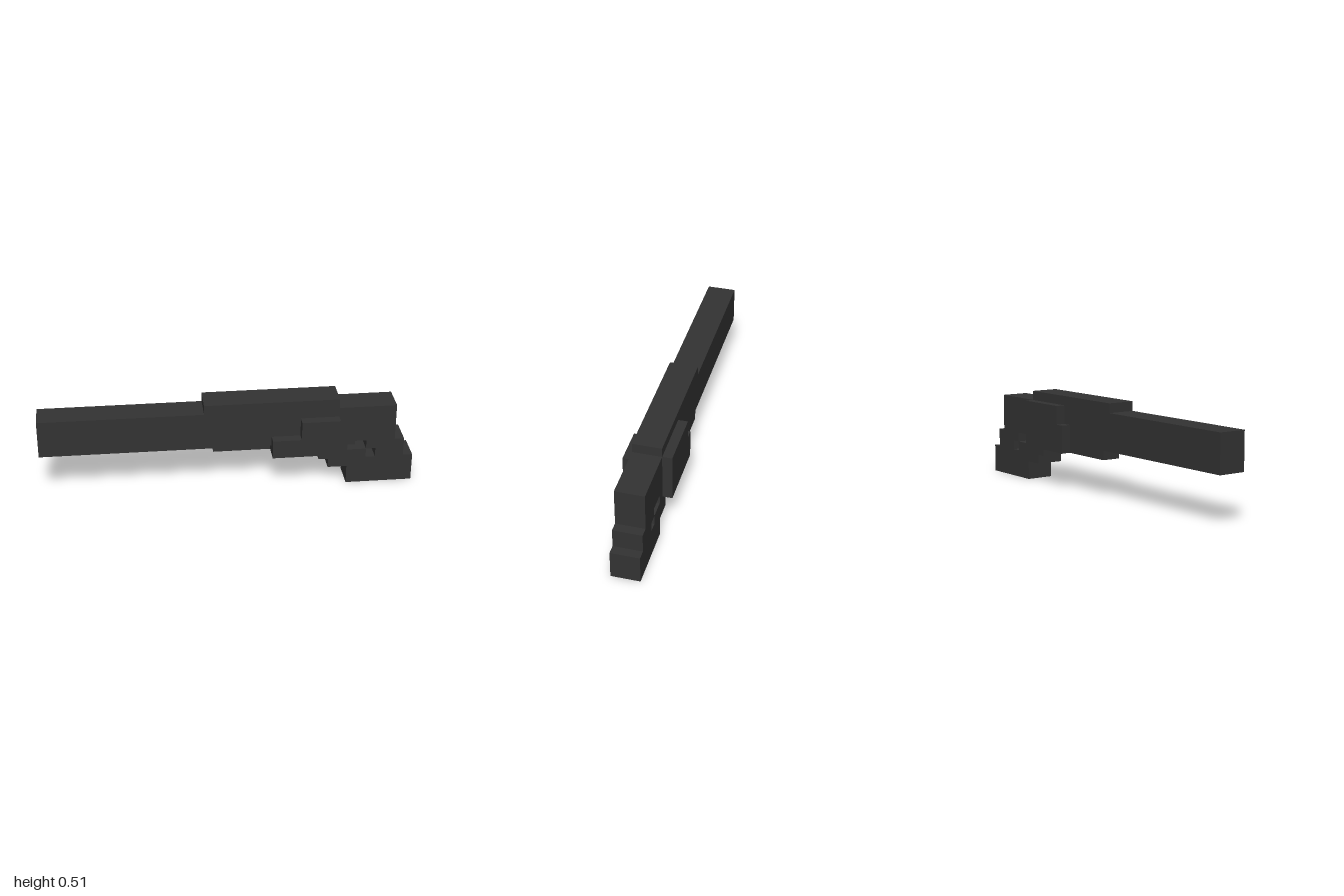
import * as THREE from 'three';

const U = 2 / 39; // one block of the grid the model is built on

export function createModel() {
  const group = new THREE.Group();
  const gunmetal = new THREE.MeshStandardMaterial({ color: 0x333333 });
  gunmetal.name = 'gunmetal';

  // Extrude a side profile, given in blocks (x from the muzzle, y from the ground), between two depths
  function slab(name, profile, z0, z1) {
    const shape = new THREE.Shape(
      profile.map(([x, y]) => new THREE.Vector2(x * U - 1, y * U))
    );
    const geometry = new THREE.ExtrudeGeometry(shape, { depth: (z1 - z0) * U, bevelEnabled: false });
    geometry.translate(0, 0, z0 * U);
    const mesh = new THREE.Mesh(geometry, gunmetal);
    mesh.name = name;
    group.add(mesh);
  }
  const rect = (x0, y0, x1, y1) => [[x0, y0], [x1, y0], [x1, y1], [x0, y1]];

  // Long barrel and receiver with the raised rail on top
  slab('barrelAndReceiver', [[0, 5], [37, 5], [37, 9], [31, 9], [31, 10], [17, 10], [17, 9], [0, 9]], -1.5, 1.5);

  // Rod under the barrel, set in from the front side
  slab('underBarrel', rect(18, 4, 24, 5), -1.5, 0.5);

  // Frame ahead of the trigger, stepping down to the guard
  slab('triggerFrame', [[24, 4], [29, 4], [29, 3], [34, 3], [34, 4], [32, 4], [32, 5], [24, 5]], -1.5, 1.5);

  // Stepped grip, leaving the two openings behind the trigger
  slab('grip', [
    [30, 2], [32, 2], [32, 0], [39, 0], [39, 3], [38, 3],
    [38, 5], [34, 5], [34, 4], [35, 4], [35, 3], [30, 3],
  ], -1.5, 1.5);

  // Narrow trigger inside the opening
  slab('trigger', rect(32, 4, 33, 5), -0.5, 0.5);

  // Stepped side plates
  slab('frontSidePlate', [[24, 4], [31, 4], [31, 8], [27, 8], [27, 6], [24, 6]], 1.5, 2.5);
  slab('backSidePlate', [[24, 4], [31, 4], [31, 9], [25, 9], [25, 7], [24, 7]], -2.5, -1.5);

  return group;
}
